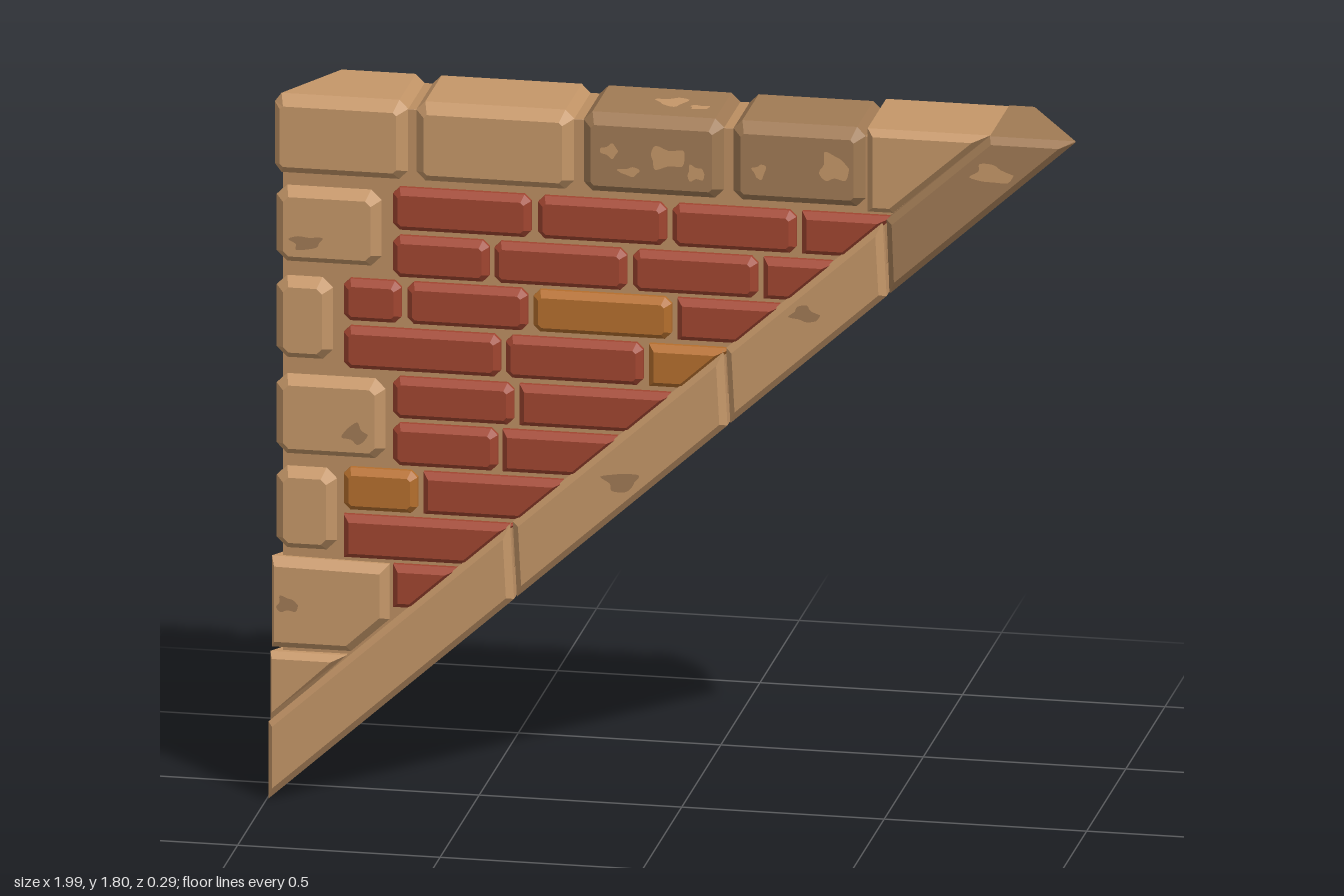
import * as THREE from 'three';

const mat = (name, color) => Object.assign(new THREE.MeshStandardMaterial({ color }), { name });

// Underside slope of the triangular wall and the mitred wall ends
const slope = (x) => 0.9 * x + 0.9;
const endLimit = (z) => 1 - (0.13 - z) * 0.6;

// Move every edge of a convex counter-clockwise outline inwards by d
function inset(poly, d) {
  const n = poly.length;
  return poly.map((p, i) => {
    const a = poly[(i + n - 1) % n], b = poly[(i + 1) % n];
    const l1 = Math.hypot(p[0] - a[0], p[1] - a[1]), l2 = Math.hypot(b[0] - p[0], b[1] - p[1]);
    const n1 = [-(p[1] - a[1]) / l1, (p[0] - a[0]) / l1];
    const n2 = [-(b[1] - p[1]) / l2, (b[0] - p[0]) / l2];
    const k = d / (1 + n1[0] * n2[0] + n1[1] * n2[1]);
    return [p[0] + (n1[0] + n2[0]) * k, p[1] + (n1[1] + n2[1]) * k];
  });
}

// Fit an outline between the mitred ends at depth z; the pointed tip becomes two corners
function fit(poly, outline, z, margin) {
  const lim = endLimit(z) - margin;
  return poly.flatMap(([x, y], i) => {
    const nx = Math.max(-lim, Math.min(lim, x));
    const slid = y + 0.9 * (nx - x);
    if (outline[i][0] > 0.9) return [[nx, slid, z], [nx, y, z]];
    return [[nx, y - slope(x) < 0.1 ? slid : y, z]];
  });
}

// Chamfered block running through the wall, with the same face front and back
function block(poly, depth, edge, chamfer, margin = 0) {
  const small = inset(poly, edge);
  const rings = [
    fit(small, poly, depth, edge + margin),
    fit(poly, poly, depth - chamfer, margin),
    fit(poly, poly, chamfer - depth, margin),
    fit(small, poly, -depth, edge + margin),
  ];
  const pos = [];
  const tri = (...pts) => pts.forEach((p) => pos.push(...p));
  const n = rings[0].length;
  for (let r = 0; r < 3; r++) {
    for (let i = 0; i < n; i++) {
      const j = (i + 1) % n, A = rings[r], B = rings[r + 1];
      tri(A[i], B[i], B[j]);
      tri(A[i], B[j], A[j]);
    }
  }
  for (let i = 1; i < n - 1; i++) {
    tri(rings[0][0], rings[0][i], rings[0][i + 1]);
    tri(rings[3][0], rings[3][i + 1], rings[3][i]);
  }
  const geo = new THREE.BufferGeometry();
  geo.setAttribute('position', new THREE.Float32BufferAttribute(pos, 3));
  geo.computeVertexNormals();
  return geo;
}

// Rectangle with cut corners
const cutRect = (x0, x1, y0, y1, c) => [
  [x0 + c, y0], [x1 - c, y0], [x1, y0 + c], [x1, y1 - c],
  [x1 - c, y1], [x0 + c, y1], [x0, y1 - c], [x0, y0 + c],
];

// Brick outline, cut off along the top of the sloping edge stones
function brickOutline(x0, x1, y0, y1) {
  const edgeX = (y) => (y - 1.085) / 0.9;
  if (x1 < edgeX(y0)) return cutRect(x0, x1, y0, y1, 0.016);
  if (edgeX(y0) < x0) return [[x0, 0.9 * x0 + 1.085], [edgeX(y1), y1], [x0, y1]];
  return [[x0, y0], [edgeX(y0), y0], [edgeX(y1), y1], [x0, y1]];
}

// Irregular flat patch of weathering
function blotch(rx, ry, seed) {
  const pts = [];
  for (let i = 0; i < 9; i++) {
    const a = (i / 9) * Math.PI * 2, r = 0.8 + 0.25 * Math.sin(i * 2.4 + seed * 1.7);
    pts.push(new THREE.Vector2(Math.cos(a) * rx * r, Math.sin(a) * ry * r));
  }
  const outline = new THREE.SplineCurve([...pts, pts[0]]).getPoints(27);
  return new THREE.ShapeGeometry(new THREE.Shape(outline.slice(0, -1)));
}

export function createModel() {
  const light = mat('light sandstone', 0xc49668);
  const dark = mat('dark sandstone', 0xa07a54);
  const mortar = mat('mortar', 0xbb8e61);
  const red = mat('red brick', 0xa04530);
  const orange = mat('orange brick', 0xb46e2d);

  const model = new THREE.Group();
  model.name = 'triangularWall';
  const add = (name, geo, material) => {
    const mesh = new THREE.Mesh(geo, material);
    mesh.name = name;
    model.add(mesh);
    return mesh;
  };

  // Mortar core
  add('mortarCore', block([[-0.975, 0.1], [0.8, 1.7], [0.8, 1.775], [-0.975, 1.775]], 0.105, 0.001, 0.001, 0.02), mortar);

  // Top row of stones
  [[-0.99, -0.655, light], [-0.635, -0.245, light], [-0.222, 0.125, dark], [0.148, 0.475, dark]].forEach(([a, b, m]) =>
    add('topStone', block(cutRect(a, b, 1.595, 1.797, 0.022), 0.138, 0.024, 0.034), m));
  add('topEndStone', block([[0.482, 1.588], [0.545, 1.588], [0.785, 1.8], [0.482, 1.8]], 0.138, 0.016, 0.02), light);

  // Upright column of stones
  [[-0.72, 1.37, 1.565], [-0.84, 1.125, 1.335], [-0.71, 0.88, 1.085], [-0.83, 0.64, 0.85]].forEach(([x, a, b]) =>
    add('columnStone', block(cutRect(-0.98, x, a, b, 0.026), 0.138, 0.022, 0.034), light));
  add('columnStone', block([[-1, 0.388], [-0.795, 0.388], [-0.7, 0.475], [-0.7, 0.615], [-1, 0.62]], 0.138, 0.02, 0.025), light);
  add('columnStone', block([[-1, 0.195], [-0.805, 0.378], [-1, 0.378]], 0.138, 0.014, 0.02), light);

  // Sloping edge stones
  [[-1, -0.39], [-0.383, 0.137], [0.144, 0.53]].forEach(([a, b]) => {
    const left = a === -1 ? a : a - 0.01;
    add('slopeStone', block([[a, slope(a)], [b, slope(b)], [b - 0.01, slope(b) + 0.19], [left, slope(left) + 0.2]], 0.144, 0.016, 0.02), light);
  });
  add('slopeTipStone', block([[0.537, slope(0.537)], [1, 1.8], [0.785, 1.8], [0.53, slope(0.53) + 0.195]], 0.144, 0.016, 0.02), dark);

  // Brick rows: bottom, top, then [left, right, is orange]
  const rows = [
    [1.47, 1.578, [-0.69, -0.35], [-0.332, -0.015], [0, 0.305], [0.32, 0.6]],
    [1.35, 1.455, [-0.69, -0.453], [-0.44, -0.113], [-0.098, 0.21], [0.225, 0.5]],
    [1.232, 1.338, [-0.812, -0.67], [-0.655, -0.358], [-0.343, -0.003, 1], [0.012, 0.4]],
    [1.11, 1.217, [-0.812, -0.425], [-0.412, -0.073], [-0.058, 0.3, 1]],
    [0.99, 1.095, [-0.69, -0.392], [-0.378, 0.1]],
    [0.87, 0.977, [-0.69, -0.432], [-0.42, 0]],
    [0.75, 0.857, [-0.812, -0.63, 1], [-0.615, -0.2]],
    [0.628, 0.737, [-0.812, -0.487], [-0.472, -0.3]],
    [0.508, 0.617, [-0.69, -0.4]],
  ];
  rows.forEach(([y0, y1, ...bricks]) => bricks.forEach(([x0, x1, isOrange]) =>
    add('brick', block(brickOutline(x0, x1, y0, y1), 0.136, 0.015, 0.02), isOrange ? orange : red)));

  // Weathering patches
  let seed = 0;
  const patch = (m, p, normal, rx, ry) => {
    const n = new THREE.Vector3(...normal).normalize();
    const mesh = add('weatheringPatch', blotch(rx, ry, seed++), m);
    mesh.position.set(...p).addScaledVector(n, 0.002);
    mesh.lookAt(mesh.position.clone().add(n));
  };
  // on the front and back faces: material, x, y, radii, depth
  [
    [light, -0.01, 1.7, 0.055, 0.035, 0.138], [light, -0.15, 1.71, 0.028, 0.02, 0.138],
    [light, 0.06, 1.665, 0.025, 0.025, 0.138], [light, -0.1, 1.66, 0.035, 0.013, 0.138],
    [light, 0.4, 1.7, 0.04, 0.045, 0.138], [light, 0.22, 1.68, 0.022, 0.022, 0.138],
    [light, 0.79, 1.71, 0.055, 0.03, 0.144], [dark, -0.12, 0.87, 0.055, 0.03, 0.144],
    [dark, 0.33, 1.325, 0.04, 0.025, 0.144],
  ].forEach(([m, x, y, rx, ry, z]) => [1, -1].forEach((s) => patch(m, [x, y, s * z], [0, 0, s], rx, ry)));
  patch(dark, [-0.9, 1.43, 0.138], [0, 0, 1], 0.05, 0.022);
  patch(dark, [-0.95, 0.505, 0.138], [0, 0, 1], 0.03, 0.025);
  patch(dark, [-0.78, 0.95, 0.138], [0, 0, 1], 0.035, 0.03);
  // on the top face
  patch(light, [-0.02, 1.797, 0], [0, 1, 0], 0.05, 0.04);
  patch(light, [0.05, 1.797, 0.03], [0, 1, 0], 0.03, 0.02);
  // on the sloping underside
  [[dark, 1.2, 0.07, 0.03, 0.06], [dark, 0.79, -0.01, 0.03, 0.06], [light, 1.46, -0.07, 0.015, 0.02],
    [light, 1.63, -0.08, 0.015, 0.02], [light, 1.45, 0.1, 0.015, 0.025]].forEach(([m, y, z, rx, ry]) =>
    patch(m, [y / 0.9 - 1, y, z], [0.9, -1, 0], rx, ry));
  // on the mitred left end
  [[1.45, 0.02], [0.97, -0.03], [0.72, 0.03]].forEach(([y, z]) =>
    patch(dark, [-endLimit(z), y, z], [-1, 0, -0.6], 0.035, 0.03));

  return model;
}
